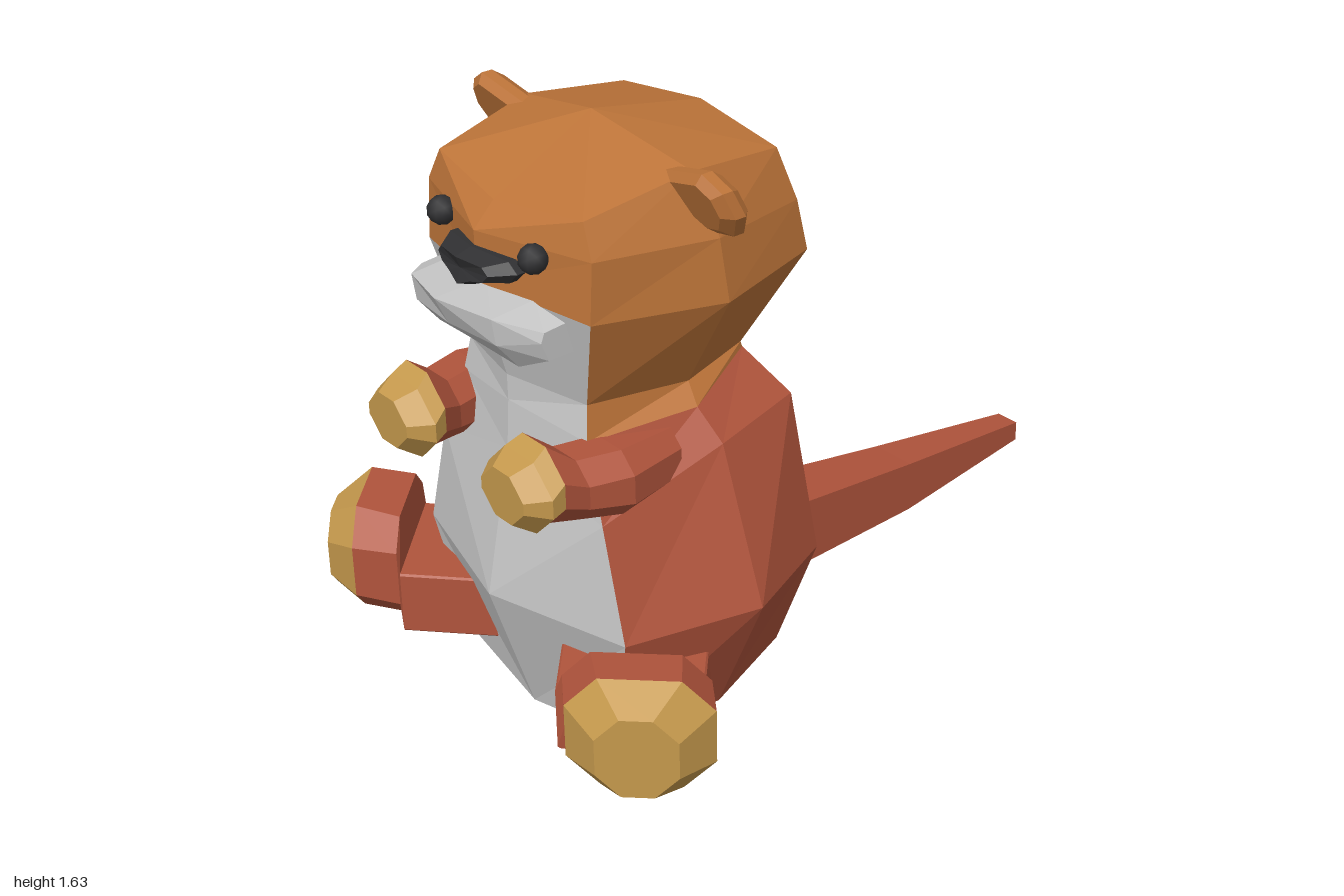
import * as THREE from 'three';

const mat = (name, color) => {
  const m = new THREE.MeshStandardMaterial({ color });
  m.name = name;
  return m;
};

// Skin a stack of rings into a closed flat-shaded mesh; pick(band, segment) gives the material index.
function loft(name, rings, materials, pick = () => 0, apexes = []) {
  const tris = materials.map(() => []);
  const n = rings[0].length;
  const centre = r => [0, 1, 2].map(k => r.reduce((s, p) => s + p[k], 0) / n);
  const start = apexes[0] || centre(rings[0]);
  const end = apexes[1] || centre(rings.at(-1));
  const last = rings.length - 1;
  for (let i = 0; i < n; i++) {
    const j = (i + 1) % n;
    tris[pick(-1, i)].push([start, rings[0][j], rings[0][i]]);
    for (let b = 0; b < last; b++) {
      const [p, q, r, s] = [rings[b][i], rings[b][j], rings[b + 1][j], rings[b + 1][i]];
      // mirrored diagonals keep both halves alike
      if (i < n / 2) tris[pick(b, i)].push([p, q, r], [p, r, s]);
      else tris[pick(b, i)].push([p, q, s], [q, r, s]);
    }
    tris[pick(last, i)].push([end, rings[last][i], rings[last][j]]);
  }
  // turn the faces outward if the enclosed volume is negative
  const V = p => new THREE.Vector3(...p);
  const mid = V(centre(rings.flat().length ? [...rings.flat()].slice(0, n) : rings[0]));
  let volume = 0;
  tris.flat().forEach(([a, b, c]) => {
    volume += V(a).sub(mid).dot(V(b).sub(mid).cross(V(c).sub(mid)));
  });
  const geo = new THREE.BufferGeometry();
  const pos = [];
  tris.forEach((list, m) => {
    const first = pos.length / 3;
    list.forEach(([a, b, c]) => pos.push(...a, ...(volume < 0 ? c : b), ...(volume < 0 ? b : c)));
    geo.addGroup(first, list.length * 3, m);
  });
  geo.setAttribute('position', new THREE.Float32BufferAttribute(pos, 3));
  geo.computeVertexNormals();
  const mesh = new THREE.Mesh(geo, materials);
  mesh.name = name;
  return mesh;
}

// Ring from front centre round the left side to back centre, mirrored to the right.
const mirrorRing = half => [...half, ...half.slice(1, -1).reverse().map(([x, y, z]) => [-x, y, z])];

// Rectangle with cut corners at depth z.
const cutBox = (x0, x1, y0, y1, z, c) => [
  [x0 + c, y0, z], [x1 - c, y0, z], [x1, y0 + c, z], [x1, y1 - c, z],
  [x1 - c, y1, z], [x0 + c, y1, z], [x0, y1 - c, z], [x0, y0 + c, z]];

// Bevelled slab from an outline: layers are [depth, scale]; place maps x, y, depth to a point.
const slabRings = (outline, [cx, cy], layers, place) => layers.map(([d, s]) =>
  outline.map(([x, y]) => place(cx + (x - cx) * s, cy + (y - cy) * s, d)));

export function createModel() {
  const model = new THREE.Group();
  model.name = 'sittingOtter';
  const red = mat('russet fur', 0xb0543c);
  const orange = mat('orange fur', 0xbd7439);
  const white = mat('pale grey fur', 0xc6c6c6);
  const ochre = mat('ochre pads', 0xc4984c);
  const black = mat('black', 0x303032);
  const front = (b, i) => (i === 0 || i === 7 ? 1 : 0);

  // Body with a pale belly
  const collar = mirrorRing([[0, 0.95, 0.80], [0.25, 0.92, 0.755], [0.315, 0.94, 0.47], [0.22, 0.99, 0.245], [0, 1.0, 0.24]]);
  model.add(loft('body', [
    mirrorRing([[0, 0.05, 0.77], [0.32, 0.10, 0.74], [0.36, 0.09, 0.45], [0.28, 0.12, 0.18], [0, 0.12, 0.12]]),
    mirrorRing([[0, 0.43, 0.89], [0.405, 0.43, 0.78], [0.53, 0.46, 0.45], [0.40, 0.45, 0.15], [0, 0.42, 0.07]]),
    mirrorRing([[0, 0.82, 0.81], [0.325, 0.73, 0.775], [0.385, 0.86, 0.45], [0.33, 0.88, 0.18], [0, 0.88, 0.15]]),
    collar,
  ], [red, white], (b, i) => (b < 0 || b > 2 ? 0 : front(b, i)), [[0, 0, 0.4]]));

  // Head: pale throat and cheeks below, orange above
  model.add(loft('head', [
    collar,
    mirrorRing([[0, 1.02, 0.80], [0.235, 1.01, 0.74], [0.27, 0.99, 0.46], [0.22, 1.005, 0.25], [0, 1.01, 0.24]]),
    mirrorRing([[0, 1.29, 0.87], [0.32, 1.265, 0.785], [0.413, 1.25, 0.45], [0.34, 1.265, 0.14], [0, 1.265, 0.08]]),
    mirrorRing([[0, 1.42, 0.87], [0.32, 1.42, 0.775], [0.392, 1.41, 0.46], [0.33, 1.40, 0.165], [0, 1.42, 0.13]]),
    mirrorRing([[0, 1.48, 0.81], [0.28, 1.505, 0.765], [0.32, 1.56, 0.48], [0.29, 1.53, 0.195], [0, 1.565, 0.185]]),
  ], [orange, white], (b, i) => (b < 2 ? front(b, i) : 0), [null, [0, 1.628, 0.52]]));

  // Muzzle, a bent bar across the face: five profile points in y, z per section
  const sections = [
    [0, [[1.29, 0.84], [1.285, 0.99], [1.21, 0.955], [1.155, 0.90], [1.16, 0.80]]],
    [0.16, [[1.285, 0.82], [1.275, 0.945], [1.205, 0.935], [1.13, 0.875], [1.14, 0.78]]],
    [0.245, [[1.25, 0.80], [1.245, 0.86], [1.22, 0.87], [1.17, 0.85], [1.17, 0.76]]],
  ];
  const across = [...sections.slice(1).reverse().map(([x, p]) => [-x, p]), ...sections];
  model.add(loft('muzzle', across.map(([x, p]) => p.map(([y, z]) => [x, y, z])), [white]));

  // Nose
  const nose = [[0, 1.285], [0.06, 1.31], [0.115, 1.322], [0.14, 1.35], [0.115, 1.376], [0, 1.383],
    [-0.115, 1.376], [-0.14, 1.35], [-0.115, 1.322], [-0.06, 1.31]];
  model.add(loft('nose', slabRings(nose, [0, 1.34], [[0.82, 1], [0.88, 1], [0.925, 0.7]],
    (x, y, d) => [x, y, d - 0.2 * Math.abs(x)]), [black]));

  // Tail
  const tail = [[0.15, 0.115, 0.12, 0.40], [0, 0.10, 0.15, 0.355], [-0.52, 0.068, 0.135, 0.285], [-1, 0.036, 0.17, 0.228]];
  model.add(loft('tail', tail.map(([z, w, y0, y1]) =>
    [[-w, y0, z], [w, y0, z], [w, y1, z], [-w, y1, z]]), [red]));

  // Paired parts
  const ear = [[0.42, 1.60], [0.475, 1.565], [0.49, 1.50], [0.455, 1.44], [0.39, 1.425], [0.30, 1.47], [0.27, 1.56]];
  const turn = Math.SQRT1_2;
  for (const [s, side] of [[1, 'left'], [-1, 'right']]) {
    const flip = rings => rings.map(r => r.map(([x, y, z]) => [s * x, y, z]));

    const eye = new THREE.Mesh(new THREE.IcosahedronGeometry(0.037, 1), black);
    eye.name = side + 'Eye';
    eye.position.set(s * 0.18, 1.40, 0.835);
    model.add(eye);

    model.add(loft(side + 'Ear', flip(slabRings(ear, [0.40, 1.51],
      [[-0.04, 0.75], [-0.015, 1], [0.015, 1], [0.04, 0.72]],
      (x, y, d) => [x, y, 0.485 + (y - 1.51) * 0.4 + d])), [orange]));

    // Arm ending in an ochre paw
    model.add(loft(side + 'Arm', flip([
      cutBox(0.20, 0.35, 0.76, 0.91, 0.55, 0.04),
      cutBox(0.19, 0.385, 0.75, 0.925, 0.72, 0.05),
      cutBox(0.165, 0.355, 0.765, 0.925, 0.83, 0.05),
      cutBox(0.125, 0.355, 0.775, 0.98, 0.90, 0.07),
      cutBox(0.11, 0.36, 0.765, 0.955, 0.94, 0.07),
      cutBox(0.155, 0.32, 0.80, 0.93, 0.995, 0.05),
    ]), [red, ochre], b => (b > 2 ? 1 : 0)));

    // Leg and foot, turned outward, with an ochre sole
    const leg = [
      cutBox(-0.45, -0.08, 0.17, 0.345, 0.50, 0.005),
      cutBox(-0.43, -0.07, 0.17, 0.345, 0.90, 0.005),
      cutBox(-0.41, -0.05, 0.17, 0.465, 0.91, 0.07),
      cutBox(-0.39, -0.03, 0.17, 0.475, 1.03, 0.08),
      cutBox(-0.31, -0.11, 0.20, 0.42, 1.115, 0.06),
    ].map(r => r.map(([x, y, z]) => [turn * (x + z), y, turn * (z - x)]));
    model.add(loft(side + 'Leg', flip(leg), [red, ochre], b => (b > 2 ? 1 : 0)));
  }
  return model;
}
